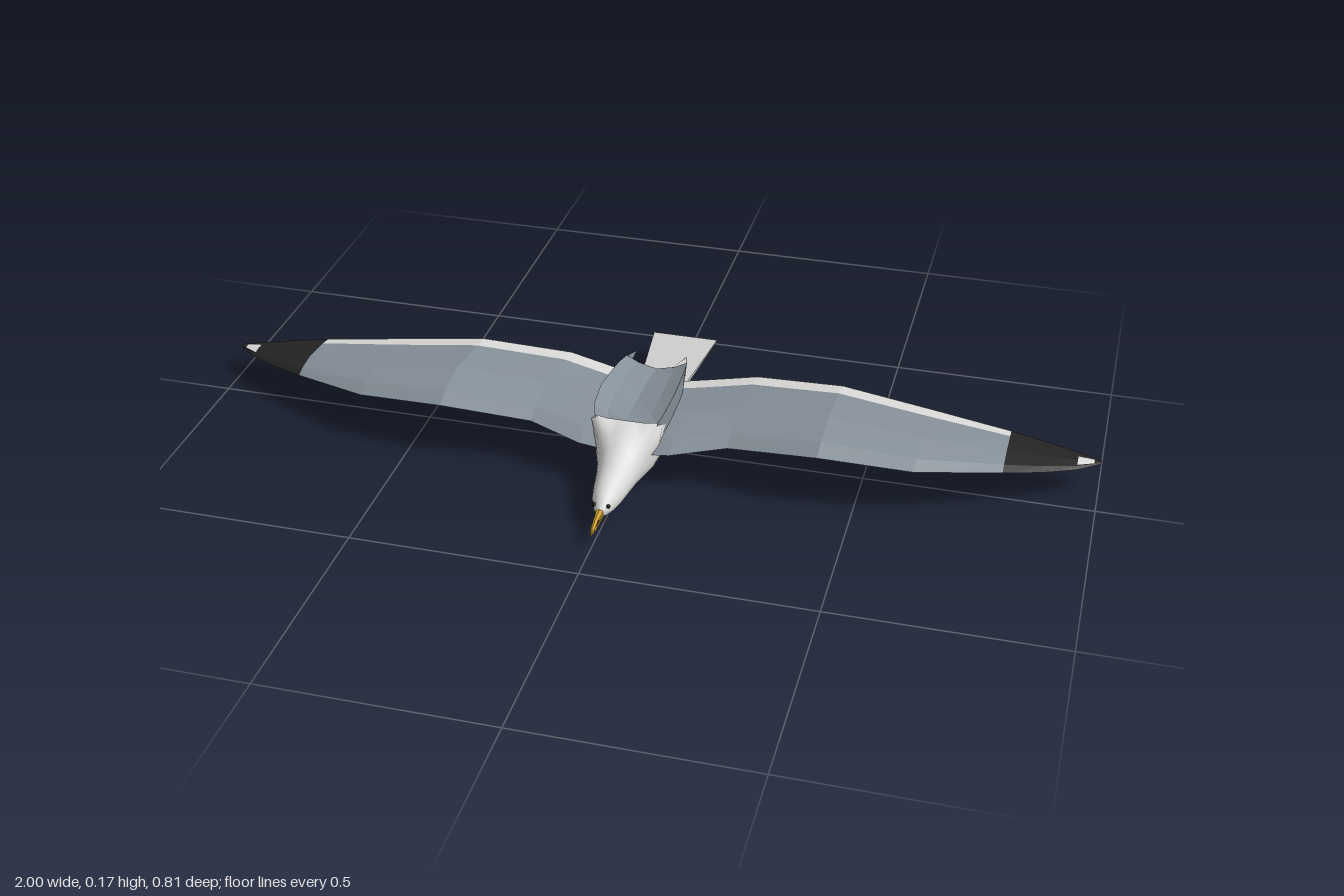
import * as THREE from 'three';

const mat = (name, color) => {
  const m = new THREE.MeshStandardMaterial({ color, side: THREE.DoubleSide });
  m.name = name;
  return m;
};

// Skin a list of cross-sections; flat gives faceted normals
function loft(rows, flat) {
  const n = rows[0].length, index = [];
  for (let i = 0; i < rows.length - 1; i++) {
    for (let j = 0; j < n - 1; j++) {
      const a = i * n + j, b = a + n;
      index.push(a, b, b + 1, a, b + 1, a + 1);
    }
  }
  let g = new THREE.BufferGeometry();
  g.setAttribute('position', new THREE.Float32BufferAttribute(rows.flat(2), 3));
  g.setIndex(index);
  if (flat) g = g.toNonIndexed();
  g.computeVertexNormals();
  return g;
}

// Wing stations: x, leading z, trailing z, top y, thickness
const STATIONS = [
  [0.03, 0.15, -0.17, 0.11, 0.035], [0.1, 0.15, -0.182, 0.118, 0.035],
  [0.22, 0.115, -0.2, 0.13, 0.03], [0.42, 0.14, -0.17, 0.155, 0.032],
  [0.62, 0.11, -0.155, 0.128, 0.025], [0.8, 0.035, -0.14, 0.1, 0.015],
  [0.88, -0.005, -0.132, 0.087, 0.012], [0.95, -0.048, -0.12, 0.075, 0.008],
  [1, -0.09, -0.105, 0.067, 0.003],
];
// Chord fraction and drop below the top (in thicknesses)
const FRONT = [[0, 0.9], [0.12, 0.35], [0.4, 0], [0.82, 0.5]];
const STRIPE = [[0.82, 0.5], [1, 0.9]];
const UNDER_REAR = [[1, 0.9], [0.5, 0.85]];
const UNDER_FRONT = [[0.5, 0.85], [0, 0.9]];
const wingRows = (stations, profile) => stations.map(([x, zl, zt, y, t]) =>
  profile.map(([f, d]) => [x, y - d * t, zl + (zt - zl) * f]));

export function createModel() {
  const white = mat('white plumage', 0xdcdcda);
  const grey = mat('grey plumage', 0x87919a);
  const tailWhite = mat('pale tail', 0xcfcfcf);
  const black = mat('black wing tip', 0x242424);
  const yellow = mat('yellow bill', 0xd0a02c);
  const dark = mat('dark eye', 0x141414);

  const bird = new THREE.Group();
  bird.name = 'seabird';
  const add = (name, geometry, material, parent = bird) => {
    const m = new THREE.Mesh(geometry, material);
    m.name = name;
    parent.add(m);
    return m;
  };

  // Body: z, bottom y, top y, half width, shoulder ridge height
  const sections = [
    [0.342, 0.046, 0.047, 0.001, 0], [0.339, 0.036, 0.056, 0.01, 0],
    [0.325, 0.028, 0.067, 0.018, 0], [0.3, 0.021, 0.082, 0.028, 0],
    [0.27, 0.016, 0.09, 0.034, 0], [0.23, 0.011, 0.1, 0.04, 0],
    [0.19, 0.008, 0.115, 0.048, 0], [0.155, 0.006, 0.13, 0.06, 0.008],
    [0.125, 0.004, 0.142, 0.07, 0.034], [0.08, 0.003, 0.136, 0.073, 0.025],
    [0, 0.001, 0.13, 0.073, 0.015], [-0.07, 0.004, 0.115, 0.067, 0],
    [-0.13, 0.011, 0.096, 0.057, 0], [-0.17, 0.018, 0.074, 0.044, 0],
    [-0.19, 0.024, 0.056, 0.028, 0], [-0.196, 0.036, 0.038, 0.001, 0],
  ];
  const SIDES = 24;
  add('body', loft(sections.map(([z, b, t, w, h]) =>
    Array.from({ length: SIDES + 1 }, (_, j) => {
      const a = (j / SIDES) * Math.PI * 2;
      const up = Math.abs(a - Math.PI);
      const ridge = h * Math.exp(-(((up - 0.95) / 0.3) ** 2));
      return [Math.sin(a) * (w + ridge * 0.7), (b + t) / 2 - Math.cos(a) * (t - b) / 2 + ridge, z];
    }))), white);

  // Grey mantle with raised sides: z, half width, edge y, middle y, skirt y
  add('mantle', loft([
    [0.128, 0.07, 0.15, 0.145, 0.13], [0.1, 0.079, 0.163, 0.146, 0.11],
    [0.03, 0.083, 0.169, 0.145, 0.1], [-0.03, 0.08, 0.165, 0.142, 0.1],
    [-0.09, 0.076, 0.16, 0.137, 0.105], [-0.135, 0.07, 0.153, 0.128, 0.12],
  ].map(([z, w, e, m, s]) => [
    [w * 0.95, s, z], [w, e, z], [w * 0.6, (e + m) / 2 - 0.002, z], [0, m, z],
    [-w * 0.6, (e + m) / 2 - 0.002, z], [-w, e, z], [-w * 0.95, s, z],
  ]), true), grey);

  // Tail fan: z, half width, y, half thickness
  add('tail', loft([[-0.12, 0.045, 0.057, 0.006], [-0.18, 0.052, 0.058, 0.005],
    [-0.41, 0.077, 0.0625, 0.001]].map(([z, w, y, t]) => [
    [w, y - t, z], [w, y + t, z], [-w, y + t, z], [-w, y - t, z], [w, y - t, z],
  ]), true), tailWhite);

  // Bill halves: z, half width, bottom y, top y
  const billHalf = (name, rows) => add(name, loft(rows.map(([z, w, b, t]) => [
    [w, b, z], [w, t - 0.003, z], [0, t, z], [-w, t - 0.003, z], [-w, b, z], [w, b, z],
  ]), true), yellow);
  billHalf('upperBill', [[0.405, 0.001, 0.031, 0.035], [0.398, 0.004, 0.034, 0.043],
    [0.37, 0.005, 0.041, 0.05], [0.328, 0.008, 0.043, 0.056]]);
  billHalf('lowerBill', [[0.402, 0.001, 0.031, 0.035], [0.385, 0.004, 0.031, 0.039],
    [0.328, 0.007, 0.034, 0.043]]);

  for (const side of [1, -1]) {
    const sideName = side > 0 ? 'left' : 'right';
    const mirror = rows => {
      const r = rows.map(row => row.map(([x, y, z]) => [side * x, y, z]));
      return side > 0 ? r : r.reverse();
    };
    const wing = new THREE.Group();
    wing.name = sideName + 'Wing';
    bird.add(wing);
    const panel = (name, stations, profile, material) =>
      add(name, loft(mirror(wingRows(stations, profile)), true), material, wing);

    // Inner wing panels and dark tip
    const inner = STATIONS.slice(0, 6), outer = STATIONS.slice(5);
    panel('wingTop', inner, FRONT, grey);
    panel('trailingStripe', inner, STRIPE, white);
    panel('underwingRear', inner, UNDER_REAR, grey);
    panel('underwingFront', inner, UNDER_FRONT, white);
    panel('wingTip', outer, [...FRONT, STRIPE[1], ...UNDER_REAR.slice(1), UNDER_FRONT[1]], black);

    // Pale spot lying on the tip
    panel('tipSpot', [[0.95, -0.048, -0.12, 0.0762, 0.008], [0.985, -0.077, -0.11, 0.0706, 0.0045]],
      [[0.15, 0.3], [0.4, 0], [0.65, 0.28]], white);

    // Pointed feathers behind the mantle
    add(sideName + 'MantleFeather', loft(mirror([
      [[0.036, 0.138, -0.125], [0.036, 0.138, -0.125]],
      [[0.058, 0.143, -0.178], [0.058, 0.141, -0.178]],
      [[0.07, 0.153, -0.13], [0.068, 0.12, -0.13]],
    ]), true), grey);

    // Eye and nostril
    const eye = add(sideName + 'Eye', new THREE.SphereGeometry(0.0045, 10, 8), dark);
    eye.position.set(side * 0.0155, 0.057, 0.328);
    const nostril = add(sideName + 'Nostril', new THREE.BoxGeometry(0.001, 0.003, 0.01), dark);
    nostril.position.set(side * 0.0056, 0.045, 0.372);
  }
  return bird;
}
